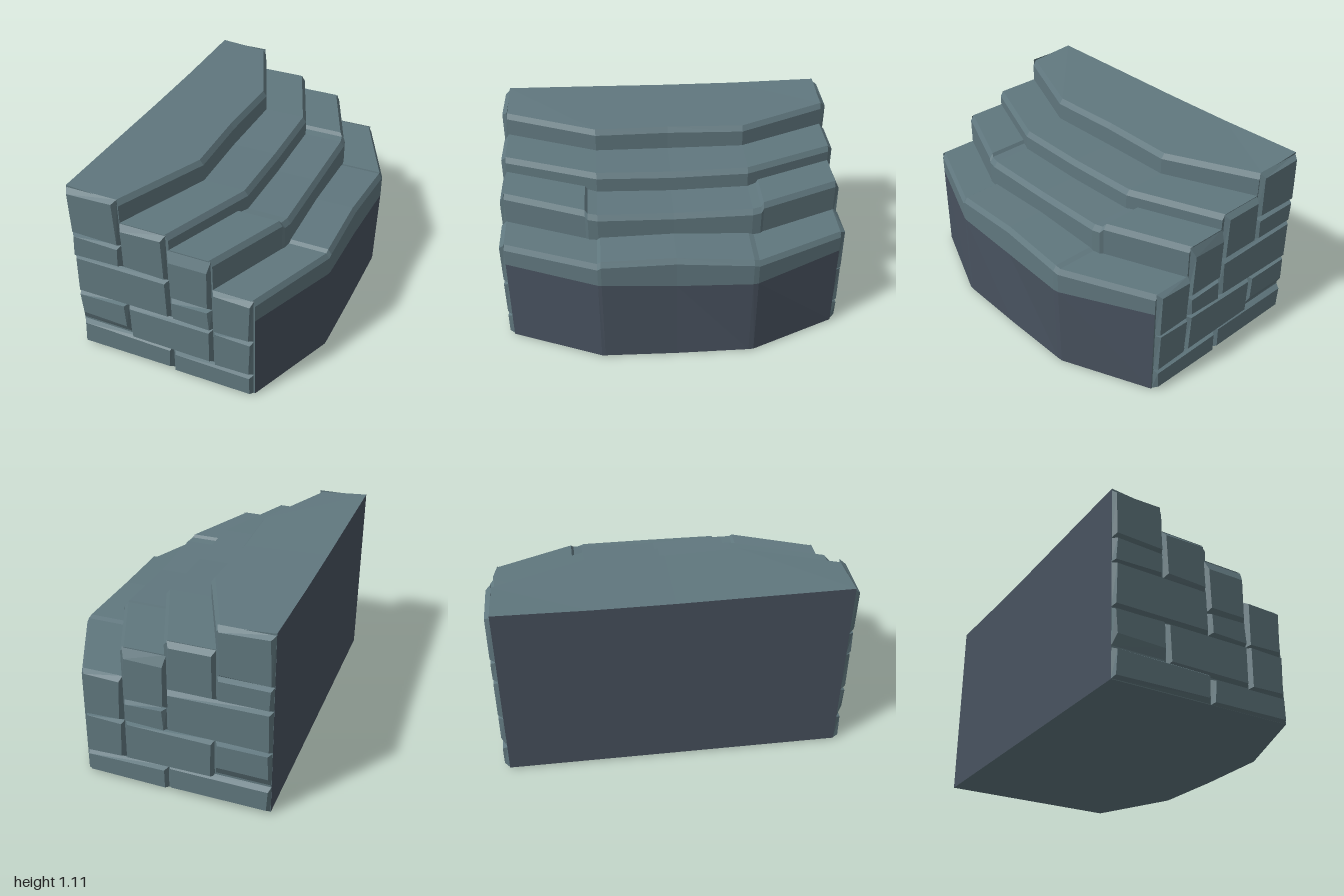
import * as THREE from 'three';

const stone = new THREE.MeshStandardMaterial({ color: 0x60777e });
stone.name = 'greyTealStone';
const wall = new THREE.MeshStandardMaterial({ color: 0x48525f });
wall.name = 'darkSlateWall';

// Loft a convex profile through stations running from +z to -z.
// edgeMats holds one material index per profile edge.
function loft(stations, edgeMats) {
  const buckets = [[], []];
  const put = (m, ...pts) => pts.forEach(p => buckets[m].push(...p));
  const n = stations[0].length;
  for (let i = 0; i < stations.length - 1; i++) {
    const s = stations[i], t = stations[i + 1];
    for (let k = 0; k < n; k++) {
      const j = (k + 1) % n;
      put(edgeMats[k], s[k], s[j], t[j], s[k], t[j], t[k]);
    }
  }
  const first = stations[0], last = stations[stations.length - 1];
  for (let k = 1; k < n - 1; k++) {
    put(0, first[0], first[k + 1], first[k]);
    put(0, last[0], last[k], last[k + 1]);
  }
  const geo = new THREE.BufferGeometry();
  geo.setAttribute('position', new THREE.Float32BufferAttribute([...buckets[0], ...buckets[1]], 3));
  geo.addGroup(0, buckets[0].length / 3, 0);
  geo.addGroup(buckets[0].length / 3, buckets[1].length / 3, 1);
  geo.computeVertexNormals();
  return geo;
}

// Step cross-section: back, sloping tread, bevelled nose, riser
function section(z, xBack, yBack, xTop, x, y, lip, xFoot, yFoot) {
  return [
    [xBack, 0.01, z], [xBack, yBack, z], [xTop, y, z],
    [x, y - 0.03, z], [x, lip, z], [xFoot, yFoot, z],
  ];
}

// Bevelled block standing proud of an end wall
function block(x0, x1, y0, y1, side, drop, jitter) {
  const g = new THREE.BoxGeometry(x1 - x0, y1 - y0, 0.03);
  const p = g.attributes.position;
  const hw = (x1 - x0) / 2, hh = (y1 - y0) / 2;
  for (let i = 0; i < p.count; i++) {
    if (p.getZ(i) * side < 0) continue;
    const sx = Math.sign(p.getX(i)), sy = Math.sign(p.getY(i));
    const wob = 0.005 * Math.sin(jitter * 7.3 + sx * 2.1 + sy * 4.7);
    p.setX(i, sx * (hw - 0.016 - wob));
    p.setY(i, sy > 0 ? hh - drop[1] + wob : -hh + drop[0] + wob);
  }
  const geo = g.toNonIndexed();
  geo.computeVertexNormals();
  geo.translate((x0 + x1) / 2, (y0 + y1) / 2, side * 0.98);
  return geo;
}

export function createModel() {
  const model = new THREE.Group();
  model.name = 'curvedStoneSteps';

  // Each station: z, nose x, tread y
  const steps = [
    { name: 'topStep', back: -0.665, rise: 0.02, at: [
      [0.967, -0.355, 1.09], [0.43, -0.13, 1.085], [0, -0.145, 1.08], [-0.45, -0.13, 1.08], [-0.967, -0.355, 1.09]] },
    { name: 'thirdStep', back: -0.45, rise: 0, at: [
      [0.967, -0.07, 0.955], [0.43, 0.14, 0.955], [0, 0.14, 0.945], [-0.45, 0.14, 0.955], [-0.967, -0.07, 0.955]] },
    { name: 'secondStep', back: -0.2, rise: 0, at: [
      [0.967, 0.18, 0.865], [0.5, 0.375, 0.862], [0.485, 0.385, 0.845], [0.43, 0.395, 0.84], [0, 0.39, 0.83],
      [-0.45, 0.395, 0.84], [-0.5, 0.385, 0.845], [-0.515, 0.37, 0.865], [-0.967, 0.18, 0.865]] },
  ];
  for (const s of steps) {
    const geo = loft(s.at.map(([z, x, y]) =>
      section(z, s.back, y + s.rise, x - 0.022, x, y, 0.5, x, 0.01)),
      [s.name === 'topStep' ? 1 : 0, 0, 0, 0, 0, 0]);
    const mesh = new THREE.Mesh(geo, [stone, wall]);
    mesh.name = s.name;
    model.add(mesh);
  }

  // Bottom step: z, wall x, tread y, colour line y, foot x, foot y
  const outer = [
    [0.967, 0.42, 0.68, 0.55, 0.42, 0.01],
    [0.44, 0.633, 0.68, 0.54, 0.635, 0.005],
    [0.42, 0.637, 0.695, 0.54, 0.637, 0.005],
    [0, 0.635, 0.7, 0.515, 0.64, 0],
    [-0.43, 0.66, 0.685, 0.525, 0.642, 0.005],
    [-0.46, 0.655, 0.675, 0.525, 0.64, 0.005],
    [-0.967, 0.42, 0.675, 0.55, 0.42, 0.01],
  ];
  const bottomStep = new THREE.Mesh(
    loft(outer.map(([z, x, y, lip, fx, fy]) =>
      section(z, 0.05, y, x - 0.02, x, y, lip, fx, fy)), [0, 0, 0, 0, 1, 0]),
    [stone, wall]);
  bottomStep.name = 'bottomStep';
  model.add(bottomStep);

  // End wall masonry: x0, x1, y0, y1, lower bevel, upper bevel
  const blocks = [
    [-0.665, -0.36, 0.805, 1.1, 0.02, 0.025],
    [-0.355, -0.085, 0.66, 0.953, 0.02, 0.03],
    [-0.08, 0.172, 0.54, 0.863, 0.02, 0.06],
    [0.176, 0.412, 0.402, 0.68, 0.01, 0.02],
    [-0.665, -0.36, 0.662, 0.803, 0.01, 0.012],
    [-0.665, -0.08, 0.402, 0.658, 0.016, 0.016],
    [-0.075, 0.172, 0.402, 0.536, 0.012, 0.012],
    [-0.665, -0.35, 0.185, 0.397, 0.06, 0.012],
    [-0.346, 0.172, 0.16, 0.397, 0.014, 0.012],
    [0.176, 0.412, 0.155, 0.398, 0.01, 0.008],
    [-0.665, -0.08, 0.012, 0.178, 0.018, 0.018],
    [-0.076, 0.412, 0.01, 0.15, 0.012, 0.014],
  ];
  for (const side of [1, -1]) {
    const end = new THREE.Group();
    end.name = side > 0 ? 'frontMasonry' : 'backMasonry';
    blocks.forEach(([x0, x1, y0, y1, low, high], i) => {
      const mesh = new THREE.Mesh(block(x0, x1, y0, y1, side, [low, high], i + side), stone);
      mesh.name = 'stoneBlock' + (i + 1);
      end.add(mesh);
    });
    model.add(end);
  }
  return model;
}
